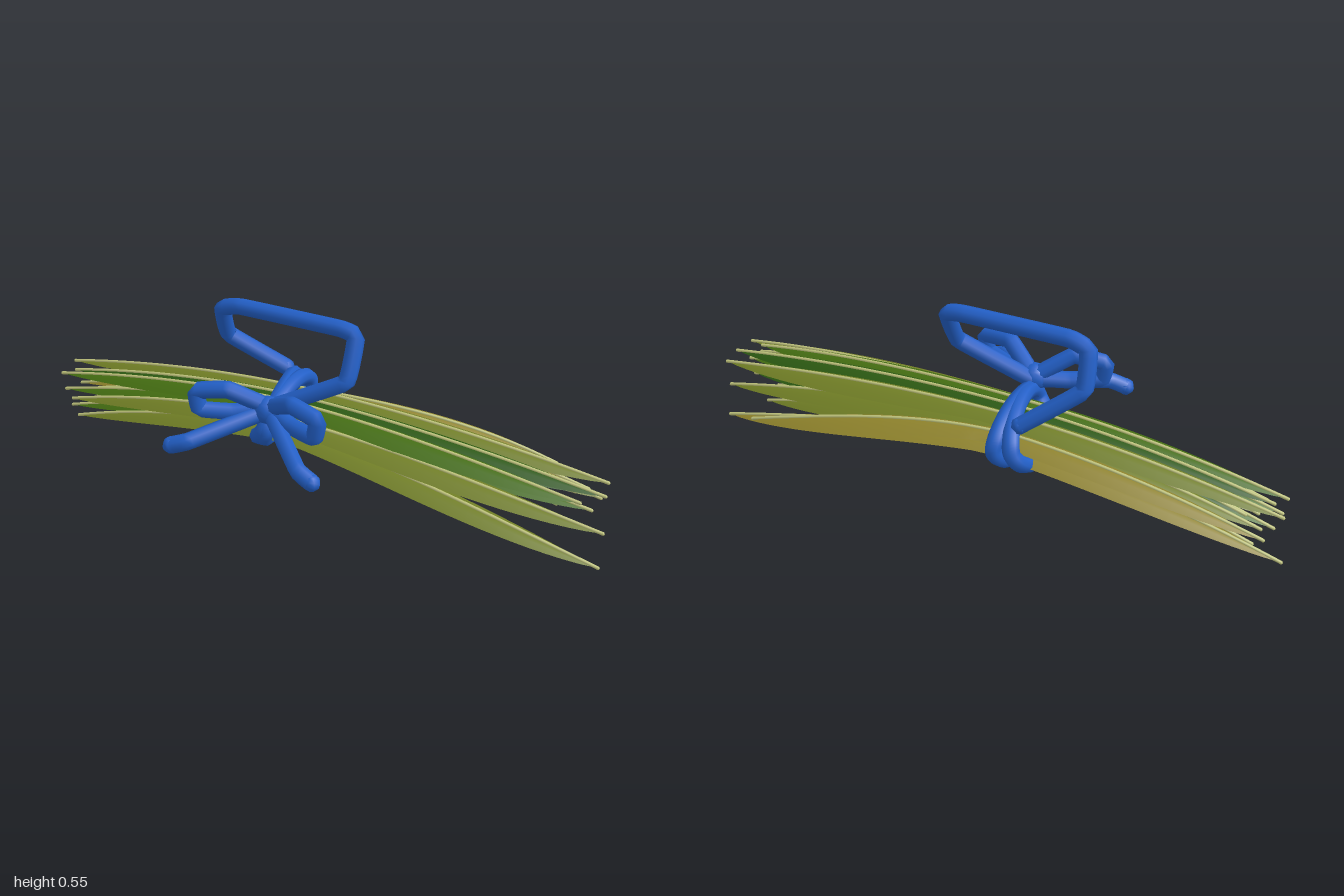
import * as THREE from 'three';

const mat = (name, color, side = THREE.FrontSide) => {
  const m = new THREE.MeshStandardMaterial({ color, side });
  m.name = name;
  return m;
};

export function createModel() {
  const model = new THREE.Group();
  model.name = 'tiedLeafBundle';
  const D = THREE.DoubleSide;
  const olive = mat('olive leaf', 0x728026, D);
  const green = mat('green leaf', 0x456f12, D);
  const dark = mat('dark green leaf', 0x2c5a12, D);
  const yellow = mat('yellow leaf', 0x90842c, D);
  const pale = mat('pale rib', 0xc0c47c);
  const blue = mat('blue rope', 0x2360c8);

  const add = (parent, name, geometry, material, pos) => {
    const m = new THREE.Mesh(geometry, material);
    m.name = name;
    if (pos) m.position.set(...pos);
    parent.add(m);
    return m;
  };

  // Leaves: rows of [material, z at the tie and left tip, right tip x, y, z, left tip x]
  const rows = [
    { y: 0.168, left: 0.008, leaves: [
      [olive, 0.03, 1.0, 0.045, 0.145, -0.88],
      [green, -0.02, 0.82, 0.045, -0.02, -0.94],
      [dark, -0.07, 0.66, 0.05, -0.07, -0.8],
      [olive, -0.118, 0.8, 0.045, -0.115, -0.9],
      [yellow, -0.165, 0.87, 0.045, -0.24, -1.0],
    ] },
    { y: 0.21, left: 0.07, leaves: [
      [olive, 0.028, 0.99, 0.125, 0.085, -0.9],
      [green, -0.018, 0.93, 0.125, -0.015, -0.96],
      [dark, -0.07, 0.86, 0.125, -0.09, -0.86],
      [olive, -0.118, 0.93, 0.09, -0.14, -0.92],
      [yellow, -0.165, 0.75, 0.085, -0.28, -0.94],
    ] },
    { y: 0.244, left: 0.13, leaves: [
      [green, -0.02, 0.9, 0.165, 0.02, -0.97],
      [dark, -0.06, 0.96, 0.165, -0.045, -0.94],
      [olive, -0.115, 0.95, 0.165, -0.12, -0.98],
    ] },
  ];

  const xTie = -0.02;
  for (const row of rows) {
    for (const [material, zMid, xR, yR, zR, xL] of row.leaves) {
      const leaf = new THREE.Group();
      leaf.name = 'leaf';
      model.add(leaf);

      // Arched centre line, u from -1 (left tip) to 1 (right tip)
      const spine = (u) => {
        const s = Math.abs(u);
        const yTip = u < 0 ? row.left : yR;
        const fan = u < 0 ? 0 : (zR - zMid) * THREE.MathUtils.smoothstep(s, -0.25, 1.05);
        return new THREE.Vector3(
          xTie + s * ((u < 0 ? xL : xR) - xTie),
          row.y - (row.y - yTip) * Math.pow(s, 1.9),
          zMid + fan,
        );
      };

      // Blade with a narrow waist, drooping to both edges
      const blade = new THREE.PlaneGeometry(2, 2, 40, 4).rotateX(-Math.PI / 2);
      const p = blade.attributes.position;
      for (let i = 0; i < p.count; i++) {
        const u = p.getX(i), v = p.getZ(i), s = Math.abs(u);
        const c = spine(u);
        const w = (0.042 + (u < 0 ? 0.045 : 0.062) * s) * Math.pow(Math.max(0, 1 - s * s), 0.9);
        p.setXYZ(i, c.x, c.y - 0.5 * w * Math.pow(Math.abs(v), 1.6), c.z + w * v);
      }
      blade.computeVertexNormals();
      add(leaf, 'leafBlade', blade, material);

      // Midrib with rounded tips
      const pts = Array.from({ length: 17 }, (_, i) => spine(-1 + i / 8));
      add(leaf, 'leafRib', new THREE.TubeGeometry(new THREE.CatmullRomCurve3(pts), 32, 0.0055, 6), pale);
      for (const end of [pts[0], pts[16]]) {
        add(leaf, 'ribTip', new THREE.SphereGeometry(0.0058, 6, 4), pale, end.toArray());
      }
    }
  }

  // Rope pieces, kinked at each point
  const R = 0.028;
  const rope = (name, points, closed = false) => {
    const pts = points.map((q) => new THREE.Vector3(...q));
    const curve = new THREE.CatmullRomCurve3(pts, closed, 'catmullrom', closed ? 0.5 : 0.12);
    const g = new THREE.Group();
    g.name = name;
    add(g, name + 'Tube', new THREE.TubeGeometry(curve, pts.length * 8, R, 8, closed), blue);
    if (!closed) {
      for (const e of [pts[0], pts[pts.length - 1]]) {
        add(g, name + 'End', new THREE.SphereGeometry(R, 8, 6), blue, e.toArray());
      }
    }
    model.add(g);
  };

  // Two wraps around the bundle, meeting at the knot
  for (const xBack of [-0.178, -0.108]) {
    const ring = [];
    for (let i = 0; i < 16; i++) {
      const a = (i / 16) * Math.PI * 2;
      const away = (1 - Math.cos(a - 0.7)) / 2;
      ring.push([
        -0.105 + (xBack + 0.105) * away - 0.03 * Math.max(0, -Math.sin(a)),
        0.187 + 0.078 * Math.sin(a),
        -0.07 + 0.168 * Math.cos(a),
      ]);
    }
    rope('wrap', ring, true);
  }

  // Carrying handle
  rope('handle', [
    [-0.1, 0.265, 0.07], [0.135, 0.385, 0.015], [0.138, 0.515, -0.05], [0.08, 0.528, -0.055],
    [-0.27, 0.528, -0.055], [-0.335, 0.505, -0.06], [-0.342, 0.39, -0.105], [-0.17, 0.265, -0.185],
  ]);

  // Bow loops and tails, mirrored about the knot
  const cx = -0.1;
  for (const s of [-1, 1]) {
    rope('bowLoop', [
      [cx, 0.27, 0.08], [cx + s * 0.11, 0.34, 0.145], [cx + s * 0.21, 0.325, 0.17],
      [cx + s * 0.2, 0.262, 0.172], [cx + s * 0.1, 0.255, 0.13], [cx, 0.265, 0.08],
    ]);
    rope('bowTail', [
      [cx, 0.26, 0.08], [cx + s * 0.19, 0.198, 0.268], [cx + s * 0.245, 0.178, 0.284],
    ]);
  }
  add(model, 'knot', new THREE.SphereGeometry(0.046, 10, 8), blue, [cx, 0.265, 0.09]);

  return model;
}
